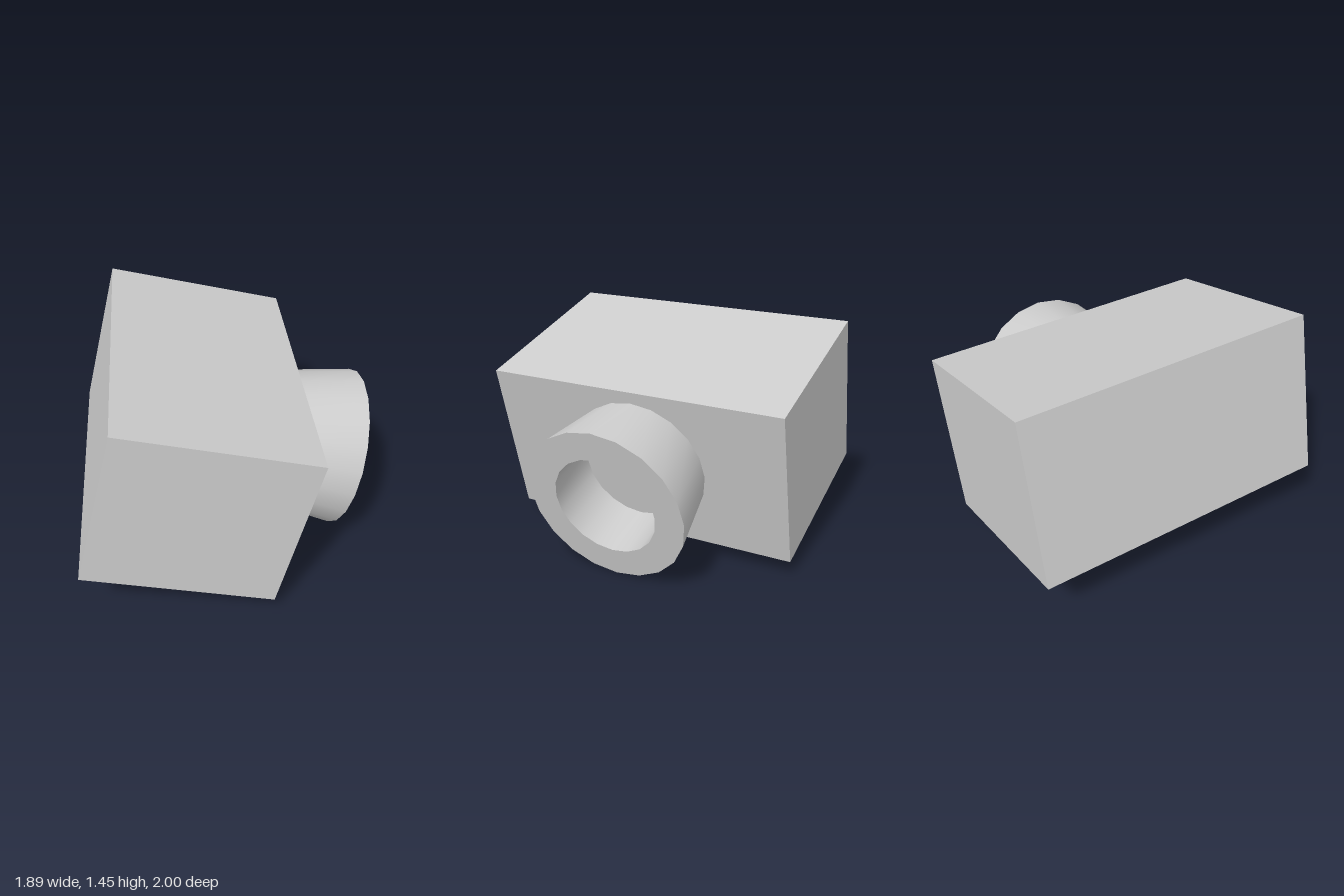
import * as THREE from 'three';
import { toCreasedNormals } from 'three/addons/utils/BufferGeometryUtils.js';

export function createModel() {
  const model = new THREE.Group();
  const grey = new THREE.MeshStandardMaterial({ color: 0xcccccc });
  grey.name = 'grey';

  // Everything shares one axis through the middle of the body, tilted down toward +x
  const camera = new THREE.Group();
  camera.name = 'tiltedBody';
  camera.position.set(-0.225, 0.785, 0);
  camera.rotation.z = THREE.MathUtils.degToRad(-13.95);
  model.add(camera);

  const width = 1.226;
  const body = new THREE.Mesh(new THREE.BoxGeometry(width, 1.077, 2), grey);
  body.name = 'body';
  camera.add(body);

  // Flared 20-sided barrel: outer wall, rim, straight bore and bore floor
  const profile = [
    [0.46, 0], [0.537, 0.459], [0.345, 0.459], [0.345, 0.07], [0, 0.07],
  ].map(([r, h]) => new THREE.Vector2(r, h));
  const barrelGeometry = toCreasedNormals(new THREE.LatheGeometry(profile, 20), Math.PI / 6);
  barrelGeometry.rotateZ(-Math.PI / 2);
  const barrel = new THREE.Mesh(barrelGeometry, grey);
  barrel.name = 'barrel';
  barrel.position.x = width / 2;
  camera.add(barrel);

  return model;
}
